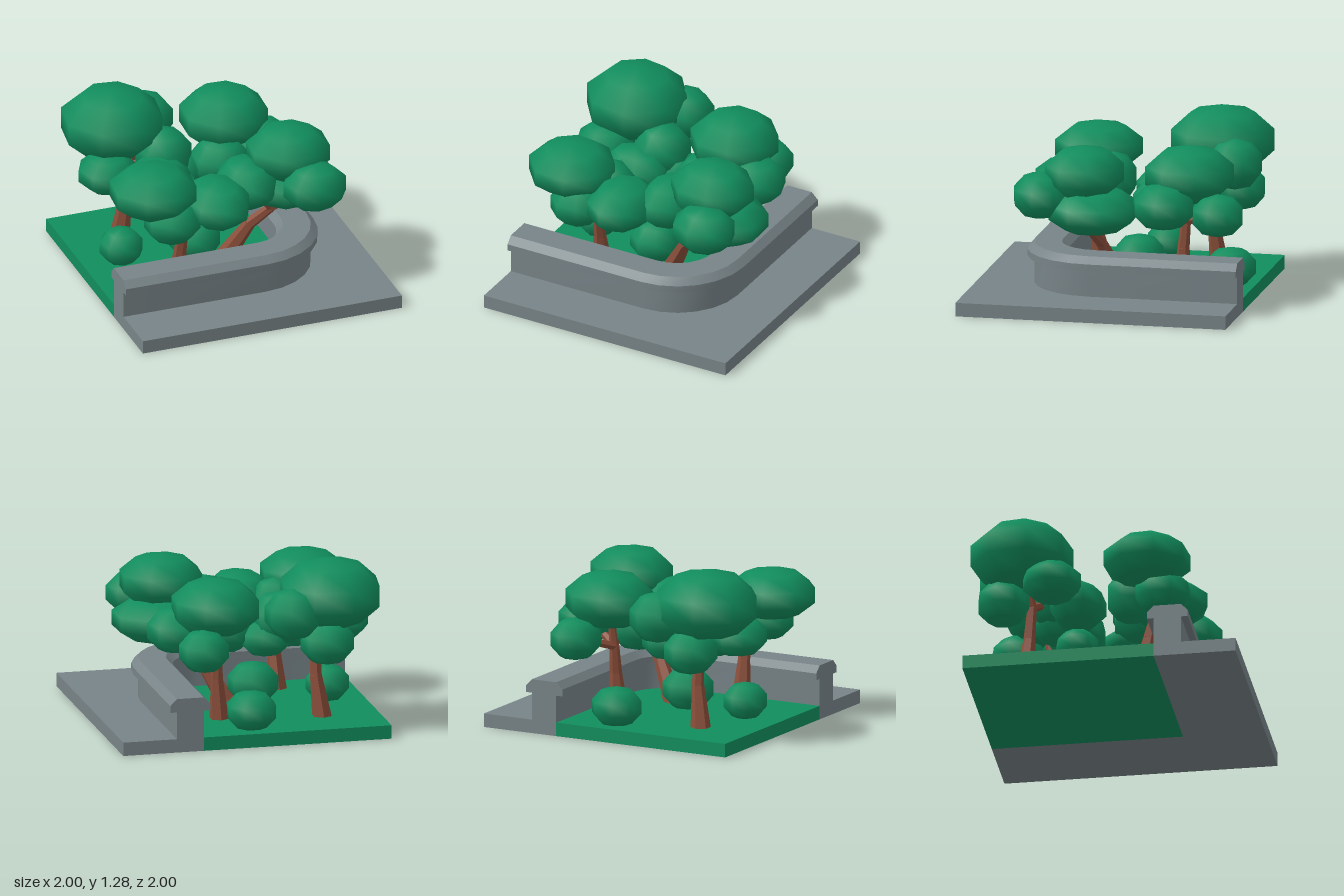
import * as THREE from 'three';
import { toCreasedNormals } from 'three/addons/utils/BufferGeometryUtils.js';

const mat = (name, color) => {
  const m = new THREE.MeshStandardMaterial({ color });
  m.name = name;
  return m;
};

export function createModel() {
  const stone = mat('stone grey', 0x788488);
  const leaf = mat('leaf green', 0x118d5d);
  const bark = mat('bark brown', 0x8a4e3a);
  const root = new THREE.Group();
  root.name = 'plantedCorner';

  const add = (parent, name, geo, material, x = 0, y = 0, z = 0) => {
    const m = new THREE.Mesh(geo, material);
    m.name = name;
    m.position.set(x, y, z);
    parent.add(m);
    return m;
  };

  // Paving in an L around the lawn
  add(root, 'pavingSide', new THREE.BoxGeometry(0.6, 0.1, 2), stone, 0.7, 0.05, 0);
  add(root, 'pavingFront', new THREE.BoxGeometry(1.4, 0.1, 0.6), stone, -0.3, 0.05, 0.7);
  add(root, 'lawn', new THREE.BoxGeometry(1.4, 0.1, 1.4), leaf, -0.3, 0.05, -0.3);

  // Wall: T profile (distance from the bend centre, height) swept round the corner
  const profile = new THREE.Shape([
    [0.3, 0.1], [0.5, 0.1], [0.5, 0.3], [0.55, 0.3], [0.55, 0.35], [0.5, 0.4],
    [0.3, 0.4], [0.25, 0.35], [0.25, 0.3], [0.3, 0.3],
  ].map(([x, y]) => new THREE.Vector2(x, y)));
  const bend = 6, steps = bend + 2, c = 0.1;
  const wall = new THREE.ExtrudeGeometry(profile, { depth: steps, steps, bevelEnabled: false });
  const p = wall.attributes.position;
  for (let i = 0; i < p.count; i++) {
    const r = p.getX(i), t = Math.round(p.getZ(i));
    if (t === 0) p.setXYZ(i, c + r, p.getY(i), -1);
    else if (t === steps) p.setXYZ(i, -1, p.getY(i), c + r);
    else {
      const a = ((t - 1) / bend) * Math.PI / 2;
      p.setXYZ(i, c + r * Math.cos(a), p.getY(i), c + r * Math.sin(a));
    }
  }
  wall.deleteAttribute('normal');
  add(root, 'curvedWall', toCreasedNormals(wall, 0.5), stone);

  // Rounded foliage clump, sized by its visible half extents and turned a little each time
  const ball = new THREE.SphereGeometry(1, 8, 5);
  let count = 0;
  const clump = (parent, name, x, y, z, rx, ry, rz = rx) => {
    const turn = Math.PI / 8 - 0.15 + ((count++ * 0.37) % 0.5);
    const m = add(parent, name, ball.clone().rotateY(turn), leaf, x, y, z);
    m.scale.set(rx * 1.08, ry, rz * 1.08);
  };

  // Six-sided tapered limb between two points
  const limb = (parent, name, a, b, ra, rb) => {
    const A = new THREE.Vector3(...a), B = new THREE.Vector3(...b);
    const d = B.clone().sub(A);
    const geo = toCreasedNormals(new THREE.CylinderGeometry(rb, ra, d.length(), 6), 0.5);
    const m = add(parent, name, geo, bark);
    m.position.copy(A).add(B).multiplyScalar(0.5);
    m.quaternion.setFromUnitVectors(new THREE.Vector3(0, 1, 0), d.normalize());
  };

  // Tree: bent trunk, a branch into each of the first three clumps, then the crown
  const tree = (name, foot, knee, fork, ...clumps) => {
    const g = new THREE.Group();
    g.name = name;
    root.add(g);
    limb(g, 'trunkBase', foot, knee, 0.075, 0.045);
    limb(g, 'trunkTop', knee, fork, 0.045, 0.035);
    for (const k of clumps.slice(0, 3)) limb(g, 'branch', fork, k.slice(0, 3), 0.035, 0.022);
    for (const k of clumps) clump(g, 'foliage', ...k);
  };

  tree('backRightTree', [-0.58, 0.08, -0.61], [-0.54, 0.4, -0.58], [-0.54, 0.66, -0.56],
    [-0.635, 1.02, -0.62, 0.365, 0.26],
    [-0.31, 0.8, -0.42, 0.2, 0.2],
    [-0.32, 0.92, -0.78, 0.2, 0.19],
    [-0.43, 0.7, -0.24, 0.25, 0.17, 0.2],
    [-0.76, 0.75, -0.38, 0.21, 0.15],
    [-0.58, 0.69, -0.76, 0.19, 0.17],
    [-0.2, 0.66, -0.42, 0.18, 0.14]);
  tree('backLeftTree', [0.16, 0.08, -0.5], [0.18, 0.4, -0.51], [0.18, 0.6, -0.53],
    [0.205, 0.95, -0.56, 0.315, 0.215],
    [0.45, 0.76, -0.42, 0.22, 0.175],
    [0.35, 0.69, -0.8, 0.175, 0.16, 0.19],
    [0.09, 0.72, -0.33, 0.21, 0.18]);
  tree('frontLeftTree', [-0.02, 0.08, 0], [0.16, 0.4, 0.1], [0.3, 0.54, 0.17],
    [0.43, 0.98, 0.17, 0.3, 0.2, 0.28],
    [0.525, 0.82, 0.47, 0.23, 0.175, 0.2],
    [0.1, 0.8, 0.2, 0.21, 0.18, 0.26],
    [0.45, 0.71, 0.1, 0.35, 0.175, 0.32]);
  tree('frontRightTree', [-0.45, 0.08, 0.215], [-0.44, 0.4, 0.28], [-0.43, 0.62, 0.33],
    [-0.66, 0.92, 0.3, 0.31, 0.19],
    [-0.2, 0.78, 0.38, 0.235, 0.175, 0.29],
    [-0.42, 0.75, 0.15, 0.18, 0.2],
    [-0.55, 0.7, 0.4, 0.2, 0.16]);

  // Low bushes on the lawn
  clump(root, 'bush', 0, 0.23, -0.82, 0.18, 0.15);
  clump(root, 'bush', -0.72, 0.23, -0.2, 0.155, 0.14);
  clump(root, 'bush', -0.19, 0.24, -0.1, 0.18, 0.16);

  return root;
}
